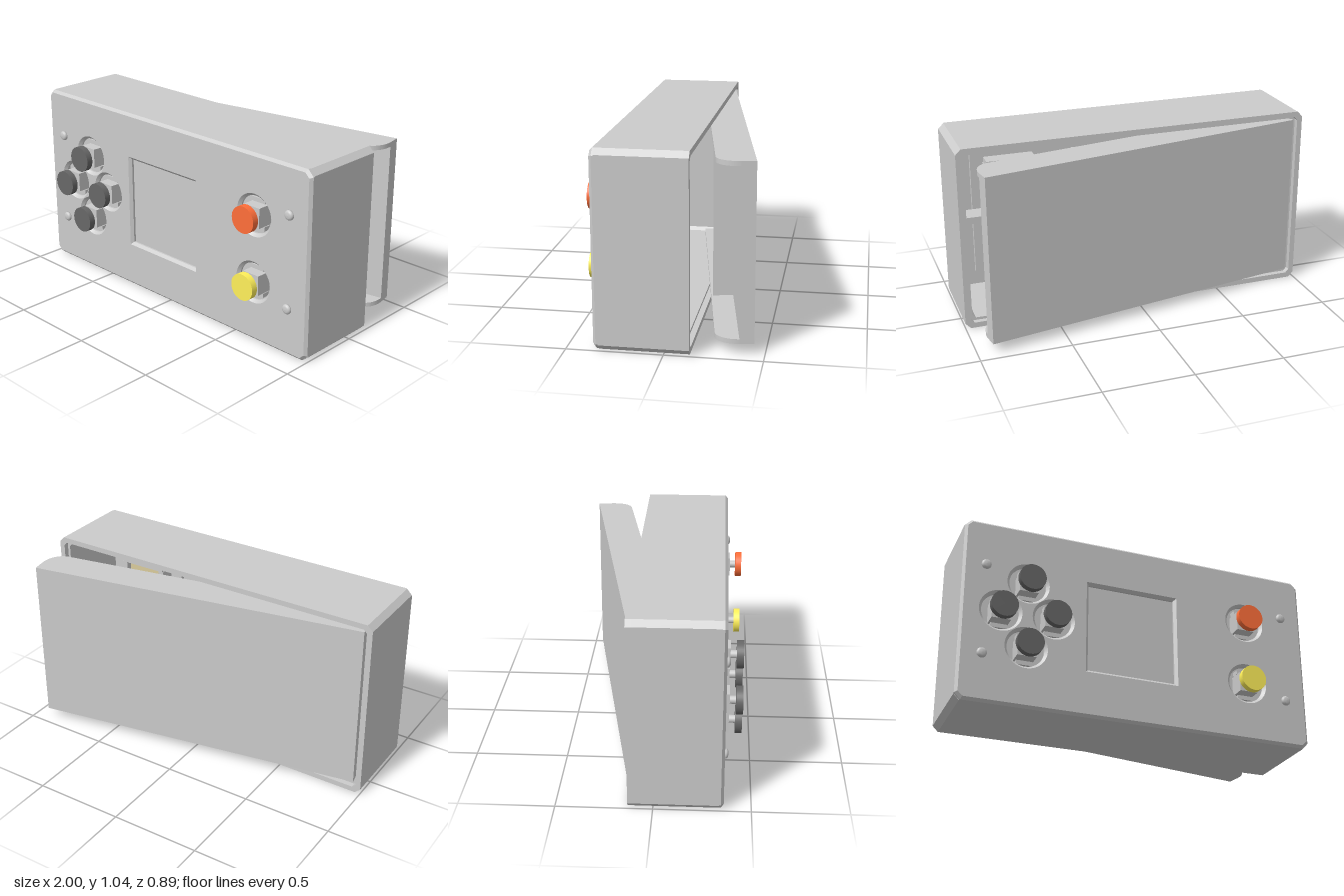
import * as THREE from 'three';
import { toCreasedNormals } from 'three/addons/utils/BufferGeometryUtils.js';

const material = (color) => new THREE.MeshStandardMaterial({ color });
const grey = material(0xcccccc);
const black = material(0x676767);
const orange = material(0xff6f3a);
const yellow = material(0xfff05a);
const tan = material(0xd9cb9c);

const H = 1.04; // case height

function add(parent, name, geometry, mat, x = 0, y = 0, z = 0) {
  const mesh = new THREE.Mesh(geometry, mat);
  mesh.name = name;
  mesh.position.set(x, y, z);
  parent.add(mesh);
  return mesh;
}

// Box given by its min and max corners
function block(parent, name, [x0, y0, z0], [x1, y1, z1], mat = grey) {
  return add(parent, name, new THREE.BoxGeometry(x1 - x0, y1 - y0, z1 - z0), mat,
    (x0 + x1) / 2, (y0 + y1) / 2, (z0 + z1) / 2);
}

// Case outline with chamfered corners, shrunk by an inset
function outline(inset, c, Type = THREE.Shape) {
  const x = 1 - inset, b = inset, t = H - inset;
  return new Type([
    [-x + c, b], [x - c, b], [x, b + c], [x, t - c],
    [x - c, t], [-x + c, t], [-x, t - c], [-x, b + c],
  ].map(([px, py]) => new THREE.Vector2(px, py)));
}

function extrude(shape, depth, bevel = 0, offset = 0) {
  return toCreasedNormals(new THREE.ExtrudeGeometry(shape, {
    depth, curveSegments: 32, bevelEnabled: bevel > 0, bevelSegments: 1,
    bevelSize: bevel, bevelThickness: bevel, bevelOffset: offset,
  }), 0.5);
}

// Ring-shaped wall of the case
function wall(parent, name, thickness, z0, z1) {
  const shape = outline(0, 0.03);
  shape.holes.push(outline(thickness, 0.02, THREE.Path));
  add(parent, name, extrude(shape, z1 - z0), grey, 0, 0, z0);
}

const BUTTONS = [
  ['upButton', -0.64, 0.71, black], ['downButton', -0.64, 0.335, black],
  ['outerButton', -0.785, 0.525, black], ['innerButton', -0.495, 0.525, black],
  ['orangeButton', 0.635, 0.71, orange], ['yellowButton', 0.635, 0.335, yellow],
];

function buildCase(model) {
  const body = new THREE.Group();
  body.name = 'case';
  model.add(body);

  // Side walls, thinner at the rear so the lid sits on a ledge
  wall(body, 'sideWalls', 0.045, -0.1, 0.335);
  wall(body, 'rearRim', 0.03, -0.13, -0.1);

  // Front plate with bevelled edges, button holes and screen window
  const bevel = 0.015;
  const face = outline(bevel, 0.025);
  for (const [, x, y] of BUTTONS) {
    face.holes.push(new THREE.Path().absarc(x, y, 0.117, 0, Math.PI * 2, true));
  }
  face.holes.push(new THREE.Path([
    [-0.313, 0.253], [-0.313, 0.788], [0.217, 0.788], [0.217, 0.253],
  ].map(([x, y]) => new THREE.Vector2(x, y))));
  add(body, 'frontPlate', extrude(face, 0.01, bevel), grey, 0, 0, 0.335);
  block(body, 'screen', [-0.34, 0.22, 0.29], [0.25, 0.82, 0.32]);

  // Domed screw heads
  const dome = new THREE.LatheGeometry([
    [0, 0], [0.027, 0], [0.027, 0.01], [0.022, 0.017], [0.014, 0.02], [0, 0.021],
  ].map(([r, h]) => new THREE.Vector2(r, h)), 24).rotateX(Math.PI / 2);
  for (const x of [-0.875, 0.87]) {
    for (const y of [0.265, 0.78]) add(body, 'screw', dome, grey, x, y, 0.357);
  }
}

function buildButtons(model) {
  // Circuit boards carrying the switches
  block(model, 'leftBoard', [-0.93, 0.19, 0.26], [-0.36, 0.86, 0.285]);
  block(model, 'rightBoard', [0.42, 0.15, 0.26], [0.85, 0.89, 0.285]);
  block(model, 'boardRail', [0.42, 0.5, 0.14], [0.94, 0.54, 0.26]);

  const cap = new THREE.CylinderGeometry(0.073, 0.073, 0.036, 40).rotateX(Math.PI / 2);
  const stem = new THREE.CylinderGeometry(0.021, 0.021, 0.05, 20).rotateX(Math.PI / 2);
  for (const [name, x, y, mat] of BUTTONS) {
    const button = new THREE.Group();
    button.name = name;
    button.position.set(x, y, 0);
    model.add(button);
    add(button, 'cap', cap, mat, 0, 0, 0.428);
    add(button, 'stem', stem, grey, 0, 0, 0.392);
    block(button, 'switchBody', [-0.052, -0.055, 0.285], [0.052, 0.055, 0.378]);
    for (const s of [-1, 1]) {
      block(button, 'switchTab', [-0.045, s * 0.075 - 0.012, 0.285], [0.045, s * 0.075 + 0.012, 0.33]);
    }
    if (x < 0) continue;
    // Framed contact pad on the back of the board
    block(button, 'contactPad', [-0.11, -0.1, 0.2], [0.11, 0.1, 0.26], tan);
    for (const s of [-1, 1]) {
      block(button, 'padFrameRail', [-0.14, s * 0.12 - 0.015, 0.17], [0.14, s * 0.12 + 0.015, 0.26]);
      block(button, 'padFramePost', [s * 0.13 - 0.015, -0.105, 0.17], [s * 0.13 + 0.015, 0.105, 0.26]);
    }
  }
}

// Rear lid, swung open; local x runs along it and local z points into the case
function buildLid(model) {
  const lid = new THREE.Group();
  lid.name = 'lid';
  lid.position.set(-0.95, 0, -0.12);
  lid.rotation.y = 0.173;
  model.add(lid);
  const length = 1.895, y0 = 0.055, y1 = 0.99, flange = 0.025;
  block(lid, 'lidPlate', [0, y0, 0], [length, y1, 0.075]);
  block(lid, 'lidRib', [1.255, y0 + flange, 0.075], [1.28, y1 - flange, 0.185]);

  // Side flanges with a rounded free corner
  const side = new THREE.Shape();
  side.moveTo(0.05, 0.07);
  side.lineTo(length, 0.07);
  side.bezierCurveTo(length, 0.14, length - 0.04, 0.195, length - 0.1, 0.195);
  side.lineTo(0.05, 0.195);
  const sideGeometry = extrude(side, flange).rotateX(Math.PI / 2);
  for (const y of [y0 + flange, y1]) add(lid, 'lidFlange', sideGeometry, grey, 0, y, 0);
}

export function createModel() {
  const model = new THREE.Group();
  model.name = 'handheldController';
  buildCase(model);
  buildButtons(model);
  buildLid(model);
  return model;
}
